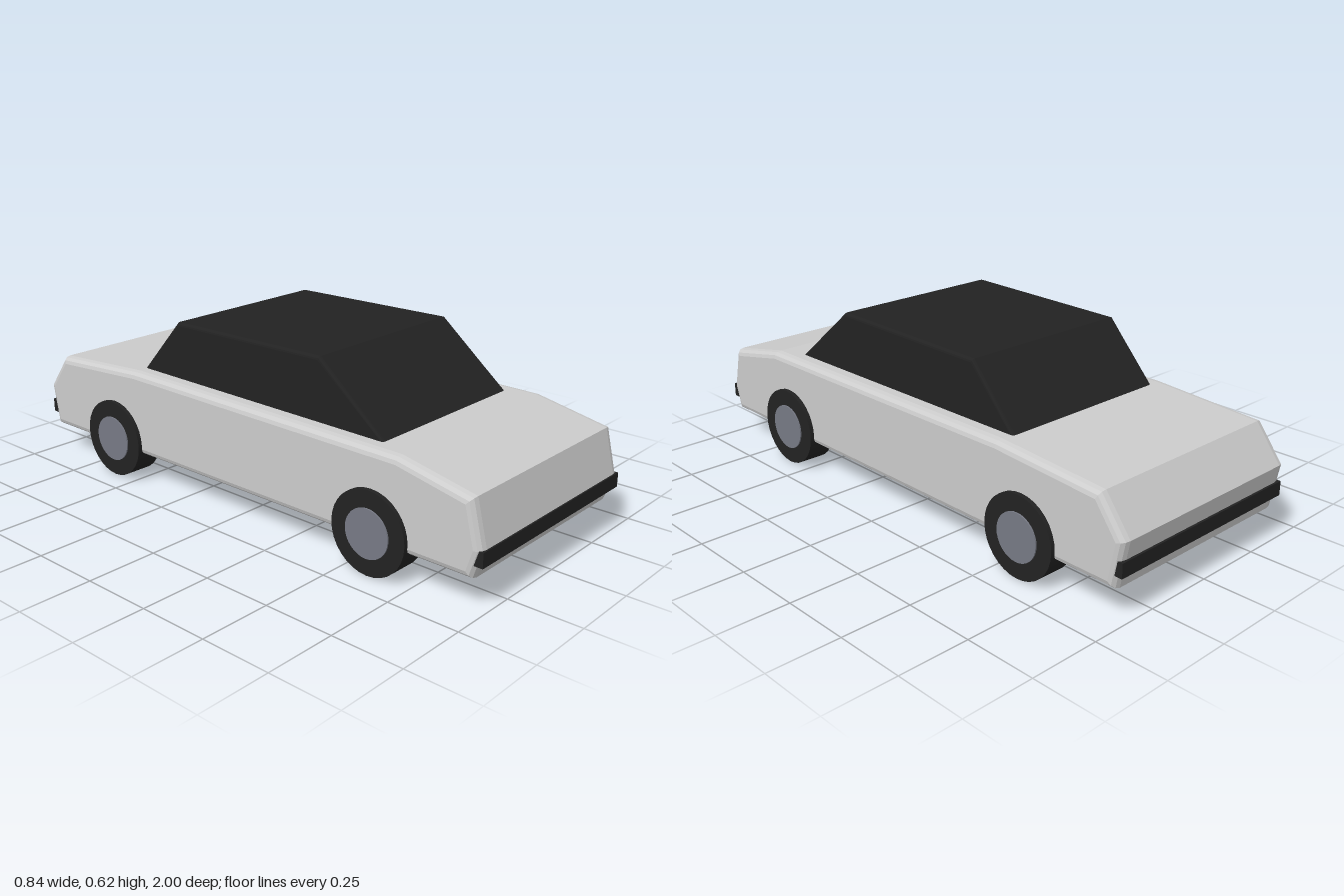
import * as THREE from 'three';

const paint = (name, color) => {
  const m = new THREE.MeshStandardMaterial({ color });
  m.name = name;
  return m;
};

// Side profile given as [z, y] points, extruded across x with rounded edges
function sideExtrude(points, halfWidth, bevelSize, bevelThickness) {
  const shape = new THREE.Shape(points.map(([z, y]) => new THREE.Vector2(z, y)));
  const depth = 2 * (halfWidth - bevelThickness);
  const geo = new THREE.ExtrudeGeometry(shape, {
    depth, bevelEnabled: true, bevelSize, bevelThickness, bevelOffset: -bevelSize, bevelSegments: 3,
  });
  geo.translate(0, 0, -depth / 2);
  geo.rotateY(-Math.PI / 2);
  return geo;
}

export function createModel() {
  const silver = paint('silver paint', 0xcccccc);
  const black = paint('black trim', 0x222222);
  const grey = paint('hub grey', 0x777a85);

  const car = new THREE.Group();
  car.name = 'car';
  const add = (name, geo, material, parent = car) => {
    const mesh = new THREE.Mesh(geo, material);
    mesh.name = name;
    parent.add(mesh);
    return mesh;
  };

  // Wedge-nosed lower body
  add('body', sideExtrude([
    [0.965, 0.105], [0.995, 0.2], [0.957, 0.355], [0.69, 0.409],
    [-0.49, 0.417], [-0.905, 0.39], [-1, 0.265], [-0.97, 0.105],
  ], 0.4, 0.025, 0.032), silver);

  // Dark cabin, sunk slightly into the body
  add('cabin', sideExtrude([
    [0.62, 0.385], [0.33, 0.625], [-0.32, 0.617], [-0.53, 0.385],
  ], 0.333, 0.012, 0.012), black);

  // Bumper bars
  add('frontBumper', new THREE.BoxGeometry(0.786, 0.05, 0.04), black).position.set(0, 0.177, 0.98);
  add('rearBumper', new THREE.BoxGeometry(0.786, 0.05, 0.04), black).position.set(0, 0.177, -0.976);

  // Wheels with slightly raised hubs
  const tyreGeo = new THREE.CylinderGeometry(0.142, 0.142, 0.1, 32).rotateZ(Math.PI / 2);
  const hubGeo = new THREE.CylinderGeometry(0.083, 0.083, 0.02, 32).rotateZ(Math.PI / 2);
  for (const [end, z] of [['front', 0.6], ['rear', -0.605]]) {
    for (const [side, s] of [['Left', 1], ['Right', -1]]) {
      const wheel = new THREE.Group();
      wheel.name = `${end}${side}Wheel`;
      wheel.position.set(s * 0.365, 0.142, z);
      add('tyre', tyreGeo, black, wheel);
      add('hub', hubGeo, grey, wheel).position.x = s * 0.045;
      car.add(wheel);
    }
  }
  return car;
}
